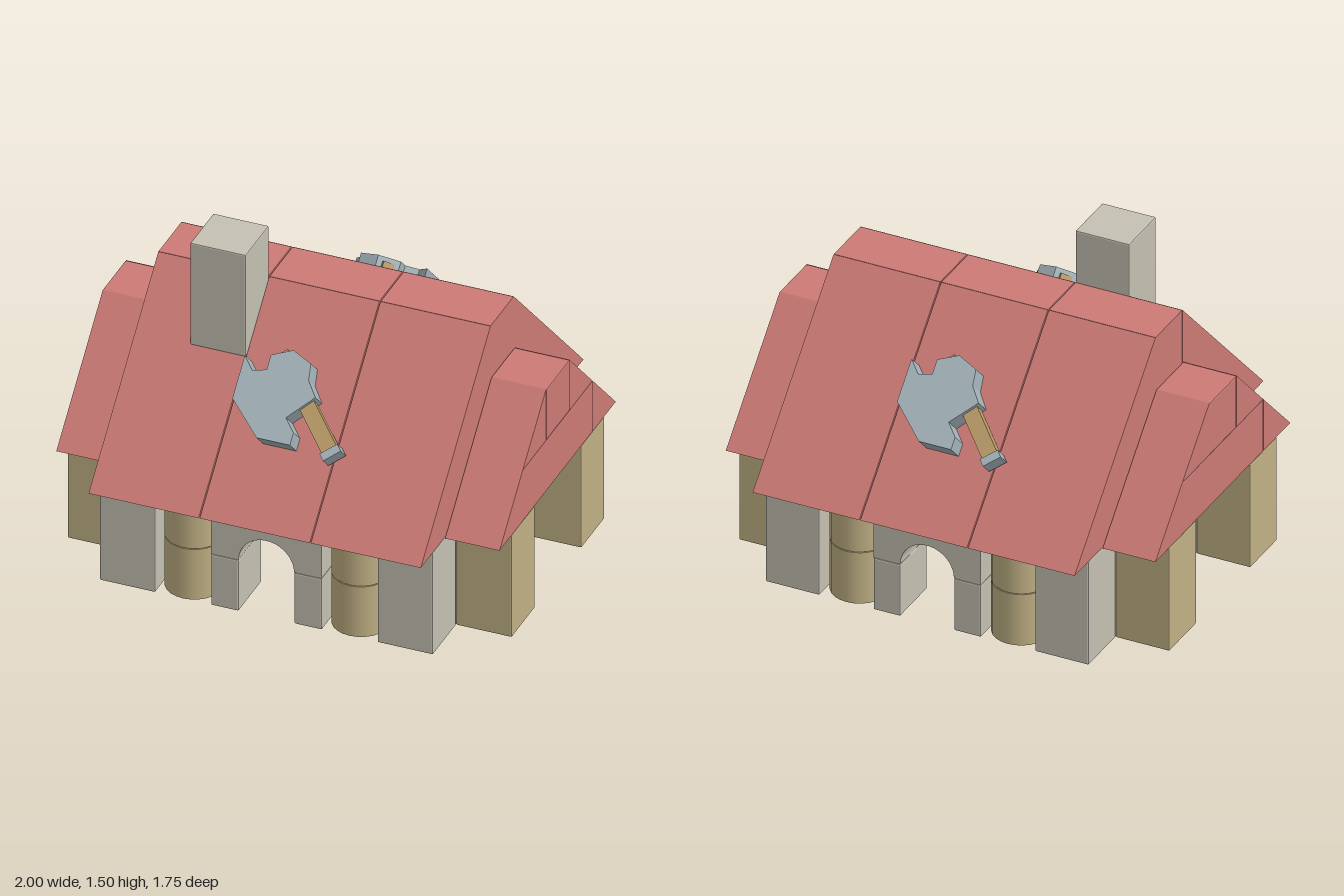
import * as THREE from 'three';
import { RoundedBoxGeometry } from 'three/addons/geometries/RoundedBoxGeometry.js';

const mat = (color) => new THREE.MeshStandardMaterial({ color, flatShading: true });
const stone = mat(0xc4c0b2), wood = mat(0xc0b084), red = mat(0xcc7a75);
const darkStone = mat(0x98989a), steel = mat(0xa3b3b9), handleWood = mat(0xb89a68);
const tan = new THREE.MeshStandardMaterial({ color: 0xc0b084 });

export function createModel() {
  const model = new THREE.Group();
  const add = (name, geo, material, parent = model) => {
    const m = new THREE.Mesh(geo, material);
    m.name = name;
    parent.add(m);
    return m;
  };
  // Slightly bevelled block given by its minimum and maximum corners
  const block = (name, material, x0, x1, y0, y1, z0, z1, parent = model) => {
    const m = add(name, new RoundedBoxGeometry(x1 - x0, y1 - y0, z1 - z0, 1, 0.006), material, parent);
    m.position.set((x0 + x1) / 2, (y0 + y1) / 2, (z0 + z1) / 2);
    return m;
  };
  const polygon = (pts) => new THREE.Shape(pts.map(([x, y]) => new THREE.Vector2(x, y)));
  const extrude = (shape, depth) =>
    new THREE.ExtrudeGeometry(shape, { depth, bevelEnabled: false, curveSegments: 10 });
  // Prism with a (z, y) outline, running along x from x0 to x1
  const prism = (name, pts, x0, x1) => {
    const geo = extrude(polygon(pts.map(([z, y]) => [-z, y])), x1 - x0 - 0.005);
    geo.rotateY(Math.PI / 2).translate(x0 + 0.0025, 0, 0);
    return add(name, geo, red);
  };

  // Arch block: half-round cut-out on its underside
  const archShape = new THREE.Shape();
  archShape.moveTo(-0.248, 0.252);
  archShape.lineTo(-0.125, 0.252);
  archShape.absarc(0, 0.252, 0.125, Math.PI, 0, true);
  archShape.lineTo(0.248, 0.252);
  archShape.lineTo(0.248, 0.498);
  archShape.lineTo(-0.248, 0.498);
  archShape.closePath();
  const archGeo = extrude(archShape, 0.25).translate(0, 0, 0.5);

  // Four arched walls; the one on the -x side is a window with a sill block
  for (let i = 0; i < 4; i++) {
    const side = new THREE.Group();
    side.name = 'archedWall';
    side.rotation.y = (i * Math.PI) / 2;
    model.add(side);
    add('arch', archGeo, stone, side);
    if (i === 3) block('windowSill', stone, -0.25, 0.25, 0, 0.25, 0.5, 0.75, side);
    else for (const s of [-1, 1]) {
      const c = s * 0.1875;
      block('archPost', stone, c - 0.0625, c + 0.0625, 0, 0.25, 0.5, 0.75, side);
    }
  }

  // Corner blocks, side walls, buttresses and columns
  for (const sx of [-1, 1]) for (const sz of [-1, 1]) {
    const pillar = (name, material, cx, cz) => block(name, material,
      sx * cx - 0.125, sx * cx + 0.125, 0, 0.5, sz * cz - 0.125, sz * cz + 0.125);
    pillar('cornerBlock', stone, 0.625, 0.625);
    pillar('sideWallBlock', stone, 0.625, 0.375);
    pillar('buttress', wood, 0.875, 0.375);
    for (const y of [0.125, 0.375]) {
      const column = add('columnDrum', new THREE.CylinderGeometry(0.125, 0.125, 0.246, 24), tan);
      column.position.set(sx * 0.375, y, sz * 0.625);
    }
  }
  block('hearthBlock', darkStone, -0.125, 0.125, 0, 0.25, -0.125, 0.125);
  block('ceiling', wood, -0.5, 0.5, 0.485, 0.505, -0.5, 0.5);

  // Main roof: three bays, each two slopes and a ridge block
  for (const x of [-0.75, -0.25, 0.25]) {
    prism('roofRidge', [[-0.123, 0.5], [0.123, 0.5], [0.123, 1.25], [-0.123, 1.25]], x, x + 0.5);
    for (const s of [-1, 1]) {
      prism('roofSlope', [[s * 0.125, 0.5], [s * 0.875, 0.5], [s * 0.125, 1.25]], x, x + 0.5);
    }
  }

  // Lower roof ends, built from blocks and wedges
  for (const x of [-1, 0.75]) {
    block('gableBase', red, x, x + 0.25, 0.5, 0.75, -0.375, 0.375);
    block('gableTop', red, x, x + 0.25, 0.75, 1, -0.125, 0.125);
    for (const s of [-1, 1]) {
      for (const [z, y] of [[0.375, 0.5], [0.125, 0.75]]) {
        prism('gableWedge', [[s * z, y], [s * (z + 0.25), y], [s * z, y + 0.25]], x, x + 0.25);
      }
    }
  }

  block('chimney', stone, -0.5, -0.25, 1, 1.5, 0.125, 0.375);

  // An axe lying on each roof slope
  const bladePts = [[-0.22, 0.16], [-0.17, 0.105], [-0.11, 0.12], [-0.11, 0.185], [-0.02, 0.225],
    [0.07, 0.185], [0.08, 0.115], [0.13, 0.05], [0.03, -0.06], [0.08, -0.115], [0.08, -0.17],
    [-0.07, -0.17], [-0.22, -0.03]];
  for (const turn of [0, Math.PI]) {
    const pivot = new THREE.Group();
    pivot.name = 'roofAxe';
    pivot.rotation.y = turn;
    model.add(pivot);
    const axe = new THREE.Group();
    axe.name = 'axe';
    axe.position.set(0, 0.88, 0.497);
    axe.rotation.x = -Math.PI / 4;
    pivot.add(axe);
    add('axeBlade', extrude(polygon(bladePts), 0.1), steel, axe);
    const shaft = new THREE.Group();
    shaft.name = 'axeShaft';
    shaft.position.set(0.09, 0.02, 0.05);
    shaft.rotation.z = -0.83;
    axe.add(shaft);
    add('axeHandle', new THREE.BoxGeometry(0.5, 0.07, 0.06), handleWood, shaft);
    add('axePommel', new THREE.BoxGeometry(0.035, 0.085, 0.08), steel, shaft).position.x = 0.245;
  }
  return model;
}
